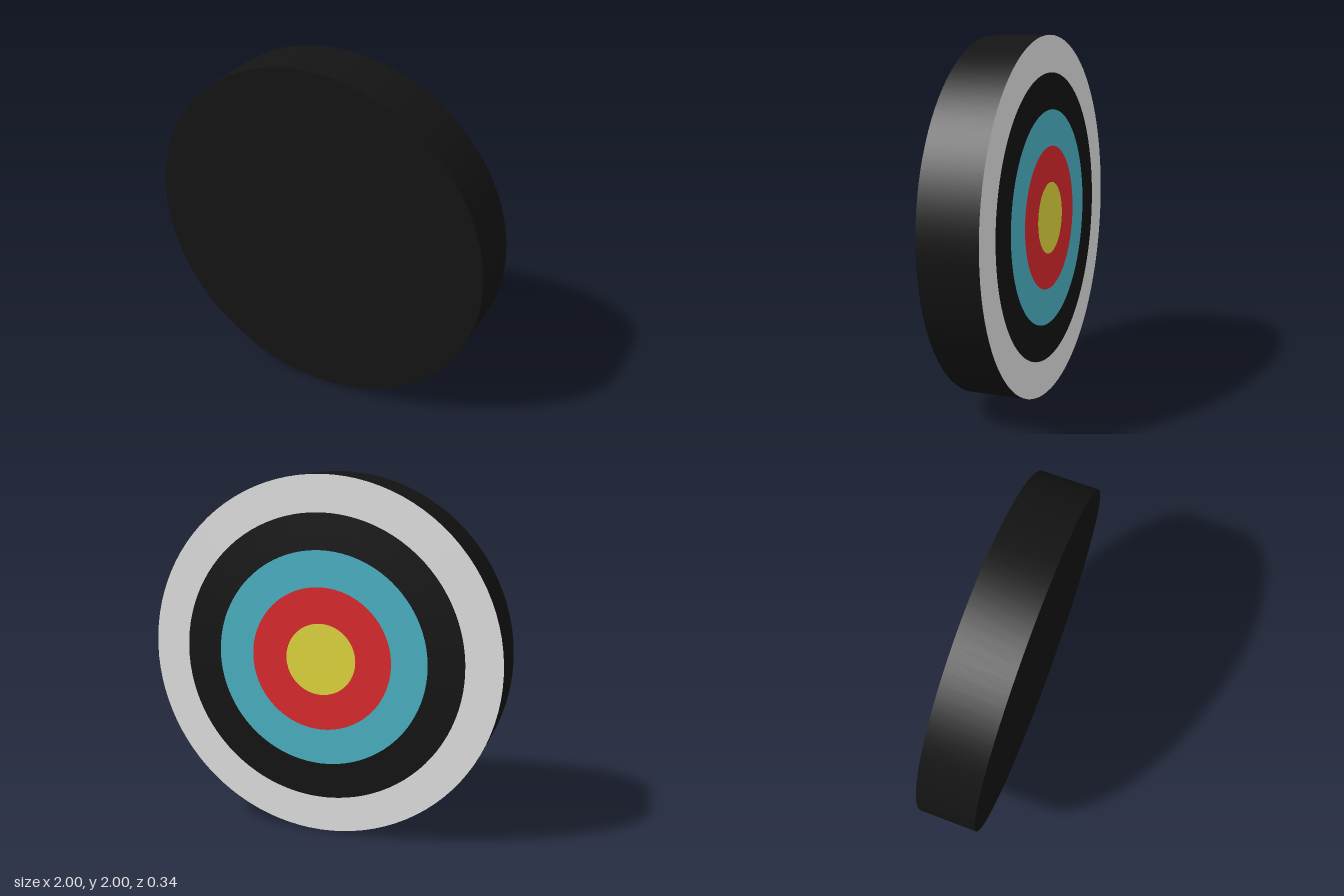
import * as THREE from 'three';

const RADIUS = 0.9985;
const DEPTH = 0.325;
const SEGMENTS = 96;

const paint = (name, color) => {
  const material = new THREE.MeshStandardMaterial({ color });
  material.name = name;
  return material;
};

export function createModel() {
  const black = paint('black', 0x141414);
  const white = paint('white', 0xe7e7e7);
  const blue = paint('blue', 0x4db7c9);
  const red = paint('red', 0xe22a2d);
  const yellow = paint('yellow', 0xe7dd3f);

  const model = new THREE.Group();
  model.name = 'archeryTarget';

  // Everything hangs on a disc that leans very slightly forward
  const disc = new THREE.Group();
  disc.name = 'disc';
  disc.position.y = 1;
  disc.rotation.x = 0.01;
  model.add(disc);

  const add = (name, geometry, material, z = 0) => {
    const mesh = new THREE.Mesh(geometry, material);
    mesh.name = name;
    mesh.position.z = z;
    disc.add(mesh);
    return mesh;
  };

  // Black side wall and plain front
  const wall = new THREE.CylinderGeometry(RADIUS, RADIUS, DEPTH, SEGMENTS, 1, true);
  add('sideWall', wall.rotateX(Math.PI / 2), black);
  add('plainFront', new THREE.CircleGeometry(RADIUS, SEGMENTS), black, DEPTH / 2);

  // Coloured scoring rings, side by side on the back face
  const rings = [
    ['bullseye', yellow],
    ['redRing', red],
    ['blueRing', blue],
    ['blackRing', black],
    ['whiteRing', white],
  ];
  const width = RADIUS / rings.length;
  rings.forEach(([name, material], i) => {
    const geometry = i === 0
      ? new THREE.CircleGeometry(width, SEGMENTS)
      : new THREE.RingGeometry(i * width, (i + 1) * width, SEGMENTS);
    add(name, geometry.rotateY(Math.PI), material, -DEPTH / 2);
  });

  return model;
}
